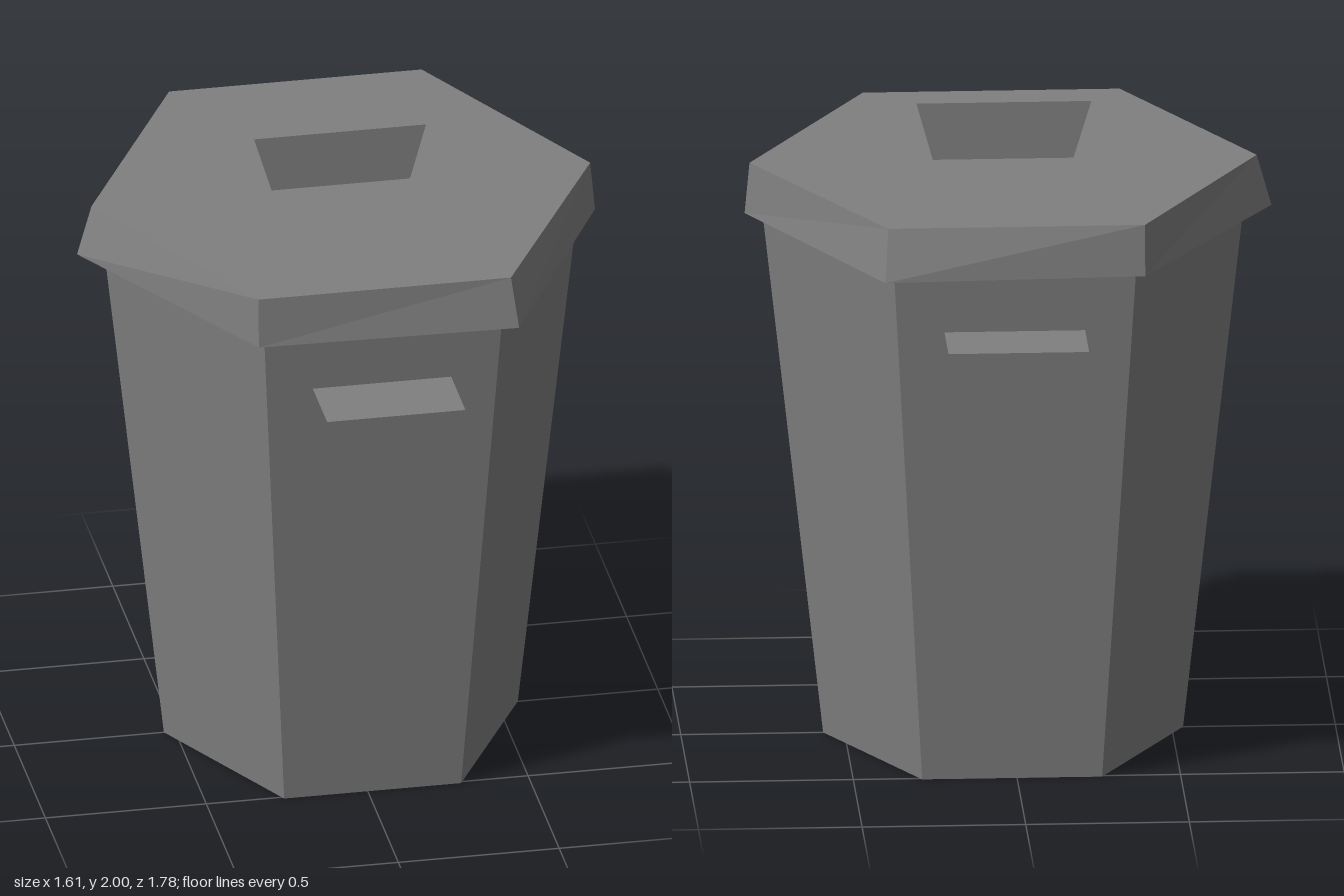
import * as THREE from 'three';

const metal = new THREE.MeshStandardMaterial({ color: 0x808080 });
metal.name = 'grey metal';
metal.side = THREE.DoubleSide; // thin sheet parts
metal.flatShading = true;

// Six-sided ring at height y: corners as [x, z], counter-clockwise from above
const ring = (y, corners) => corners.map(([x, z]) => [x, y, z]);

// Symmetric hexagon from its four x positions and its half depth
const hexagon = (y, xLeft, xInnerLeft, xInnerRight, xRight, z) => ring(y, [
  [xRight, 0], [xInnerRight, -z], [xInnerLeft, -z],
  [xLeft, 0], [xInnerLeft, z], [xInnerRight, z],
]);

// Walls between two rings
function walls(low, high) {
  return low.flatMap((a, i) => {
    const j = (i + 1) % low.length;
    return [a, low[j], high[j], a, high[j], high[i]];
  });
}

// Fan from a ring to a centre point
function fan(points, centre, faceDown) {
  return points.flatMap((a, i) => {
    const b = points[(i + 1) % points.length];
    return faceDown ? [centre, b, a] : [centre, a, b];
  });
}

function part(name, triangles) {
  const geometry = new THREE.BufferGeometry();
  geometry.setAttribute('position', new THREE.Float32BufferAttribute(triangles.flat(), 3));
  geometry.computeVertexNormals();
  const mesh = new THREE.Mesh(geometry, metal);
  mesh.name = name;
  return mesh;
}

const quad = (a, b, c, d) => [a, b, c, a, c, d];

export function createModel() {
  const model = new THREE.Group();
  model.name = 'trashCan';

  // Tapered bin with a base pushed inward to a point
  const base = hexagon(0, -0.535, -0.26, 0.29, 0.565, 0.51);
  const mouth = hexagon(1.72, -0.727, -0.358, 0.388, 0.757, 0.686);
  model.add(part('body', walls(base, mouth)));
  model.add(part('recessedBase', fan(base, [0.015, 0.22, 0], true)));

  // Slightly dented lid: flared skirt, open below
  const rim = ring(1.66, [
    [0.805, 0], [0.415, -0.76], [-0.38, -0.73],
    [-0.805, 0], [-0.38, 0.725], [0.425, 0.745],
  ]);
  const lidEdge = hexagon(1.82, -0.76, -0.38, 0.405, 0.79, 0.717);
  model.add(part('lidSkirt', walls(rim, lidEdge)));
  model.add(part('lidTop', fan(lidEdge, [0.015, 1.82, 0], false)));

  // Upright sheet grip on the lid
  model.add(part('lidHandle', quad(
    [-0.2, 1.82, 0], [0.23, 1.82, 0], [0.28, 2, 0], [-0.255, 2, 0])));

  // Flat sheet handles at front and back
  for (const [name, s] of [['frontHandle', 1], ['backHandle', -1]]) {
    const left = 0.015 + 0.215 * s, right = 0.015 - 0.215 * s;
    model.add(part(name, quad(
      [right, 1.47, 0.66 * s], [right, 1.47, 0.89 * s],
      [left, 1.47, 0.89 * s], [left, 1.47, 0.66 * s])));
  }

  return model;
}
